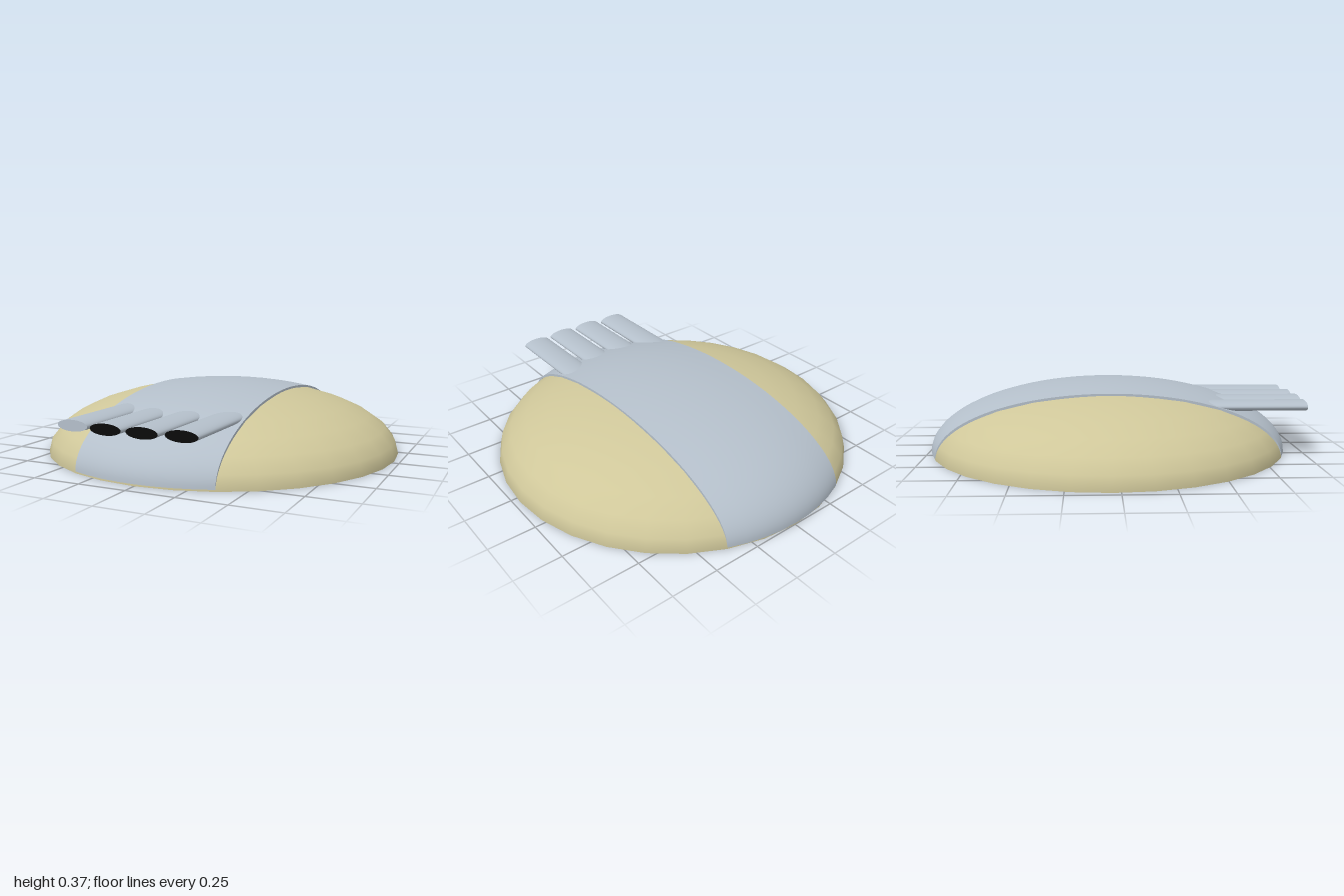
import * as THREE from 'three';

const RX = 0.969, RZ = 0.9625, HEIGHT = 0.36, CENTER_Z = -0.0375;
const BAND_HALF = 0.373, BAND_LIFT = 0.01;

const material = (name, color, side = THREE.FrontSide) => {
  const m = new THREE.MeshStandardMaterial({ color, side });
  m.name = name;
  return m;
};

// Strip that follows the dome from front rim to back rim; place(u) gives x and a drop in y
function domeStrip(columns, place) {
  const geo = new THREE.PlaneGeometry(1, 1, columns, 64);
  const pos = geo.attributes.position;
  for (let i = 0; i < pos.count; i++) {
    const [x, drop] = place(pos.getX(i) + 0.5);
    const angle = (pos.getY(i) + 0.5) * Math.PI;
    const r = 1.003 * Math.sqrt(1 - (x / RX) ** 2);
    pos.setXYZ(i, x,
      Math.max(0, HEIGHT * r * Math.sin(angle) + BAND_LIFT - drop),
      CENTER_Z + RZ * r * Math.cos(angle));
  }
  geo.computeVertexNormals();
  return geo;
}

export function createModel() {
  const group = new THREE.Group();
  const tan = material('tan shell', 0xcfc79a, THREE.DoubleSide);
  const grey = material('blue grey', 0xb4bfca);
  const greyOpen = material('blue grey open', 0xb4bfca, THREE.DoubleSide);
  const black = material('black', 0x0a0a0a);

  const add = (name, geo, mat, parent = group) => {
    const mesh = new THREE.Mesh(geo, mat);
    mesh.name = name;
    parent.add(mesh);
    return mesh;
  };

  // Open hollow dome
  const dome = new THREE.SphereGeometry(1, 32, 8, 0, Math.PI * 2, 0, Math.PI / 2);
  dome.scale(RX, HEIGHT, RZ);
  add('dome', dome, tan).position.z = CENTER_Z;

  // Raised band over the dome, with a narrow edge down each side
  const band = new THREE.Group();
  band.name = 'band';
  group.add(band);
  add('bandTop', domeStrip(8, u => [(u * 2 - 1) * BAND_HALF, 0]), greyOpen, band);
  for (const side of [-1, 1]) {
    add(side < 0 ? 'bandEdgeRight' : 'bandEdgeLeft',
      domeStrip(1, u => [side * BAND_HALF, u * 0.014]), greyOpen, band);
  }

  // Row of four flattened tubes; all but the one on the right have a black mouth
  const length = 0.54;
  for (let i = 0; i < 4; i++) {
    const tube = new THREE.Group();
    tube.name = 'tube' + (i + 1);
    const front = i === 0 || i === 3 ? 0.985 : 0.999;
    tube.position.set(-0.283 + i * 0.187, 0.266, front);
    group.add(tube);

    const body = new THREE.CylinderGeometry(1, 1, length, 32);
    body.rotateX(Math.PI / 2);
    body.scale(0.081, 0.027, 1);
    add('tubeBody', body, grey, tube).position.z = -length / 2;

    if (i > 0) {
      const mouth = new THREE.CircleGeometry(1, 32);
      mouth.scale(0.081, 0.027, 1);
      add('tubeMouth', mouth, black, tube).position.z = 0.001;
    }
  }
  return group;
}
